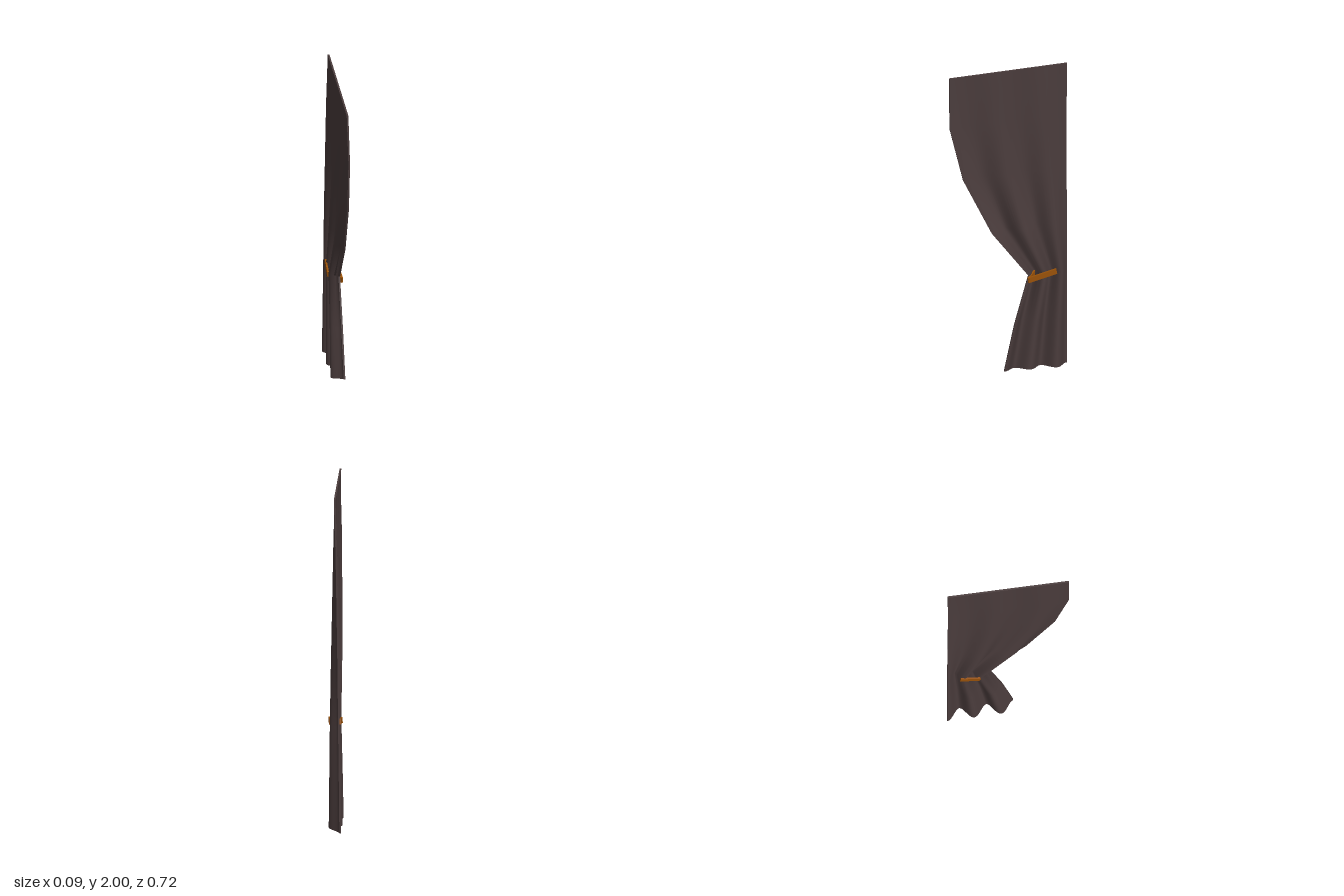
import * as THREE from 'three';
import { toCreasedNormals } from 'three/addons/utils/BufferGeometryUtils.js';

const COLS = 40, FOLDS = 5, HALF = 0.005;

// Rows from hem to rail: height, free edge z, fixed edge z, fold depth
const ROWS = [
  [0.0, 0.043, -0.353, 0.033],
  [0.33, -0.02, -0.352, 0.029],
  [0.64, -0.105, -0.352, 0.025],
  [0.95, 0.115, -0.35, 0.022],
  [1.32, 0.285, -0.347, 0.016],
  [1.67, 0.365, -0.345, 0.010],
  [2.0, 0.365, -0.345, 0.0],
];

// Closed fabric sheet: one loop of points per row, joined by quads
function drapeGeometry() {
  const pos = [], idx = [], ring = 2 * (COLS + 1);
  ROWS.forEach(([y, zFree, zFixed, depth], r) => {
    const centre = u => [depth * Math.cos(Math.PI * FOLDS * u) - 0.002, zFree + (zFixed - zFree) * u];
    const point = (i, side) => {
      const u = i / COLS;
      const [x, z] = centre(u), [x0, z0] = centre(u - 0.01), [x1, z1] = centre(u + 0.01);
      const len = Math.hypot(x1 - x0, z1 - z0);
      // gently scalloped hem
      const hem = r === 0 ? 0.012 * (1 - u) + 0.01 * (1 + Math.cos(Math.PI * FOLDS * u)) * (1 - 0.6 * u) : 0;
      pos.push(x - side * HALF * (z1 - z0) / len, y + hem, z + side * HALF * (x1 - x0) / len);
    };
    for (let i = 0; i <= COLS; i++) point(i, 1);
    for (let i = COLS; i >= 0; i--) point(i, -1);
  });
  const quad = (a, b, c, d) => idx.push(a, b, c, a, c, d);
  for (let r = 0; r < ROWS.length - 1; r++) {
    for (let i = 0; i < ring; i++) {
      const n = (i + 1) % ring, o = r * ring;
      quad(o + i, o + n, o + ring + n, o + ring + i);
    }
  }
  // top and hem edges
  const top = (ROWS.length - 1) * ring;
  for (let i = 0; i < COLS; i++) {
    const a = i, b = i + 1, c = ring - 2 - i, d = ring - 1 - i;
    quad(top + a, top + b, top + c, top + d);
    quad(d, c, b, a);
  }
  const geo = new THREE.BufferGeometry();
  geo.setAttribute('position', new THREE.Float32BufferAttribute(pos, 3));
  geo.setIndex(idx);
  return toCreasedNormals(geo, 0.7);
}

export function createModel() {
  const model = new THREE.Group();
  model.name = 'tiedCurtain';
  const fabric = new THREE.MeshStandardMaterial({ color: 0x4a3c3c });
  fabric.name = 'dark brown fabric';
  const band = new THREE.MeshStandardMaterial({ color: 0x9a5208 });
  band.name = 'amber band';

  const drape = new THREE.Mesh(drapeGeometry(), fabric);
  drape.name = 'drape';
  model.add(drape);

  // Tieback: straight strips around the gathered waist, open at the back
  const tieback = new THREE.Group();
  tieback.name = 'tieback';
  const path = [
    [0.027, 0.646, -0.272], [0.039, 0.617, -0.104],
    [-0.034, 0.63, -0.165], [-0.031, 0.65, -0.272],
  ].map(p => new THREE.Vector3(...p));
  for (let i = 0; i < path.length - 1; i++) {
    const a = path[i], b = path[i + 1];
    const strip = new THREE.Mesh(new THREE.BoxGeometry(0.01, 0.034, a.distanceTo(b) + 0.006), band);
    strip.name = 'tiebackStrip' + (i + 1);
    strip.position.lerpVectors(a, b, 0.5);
    strip.lookAt(b);
    tieback.add(strip);
  }
  model.add(tieback);
  return model;
}
